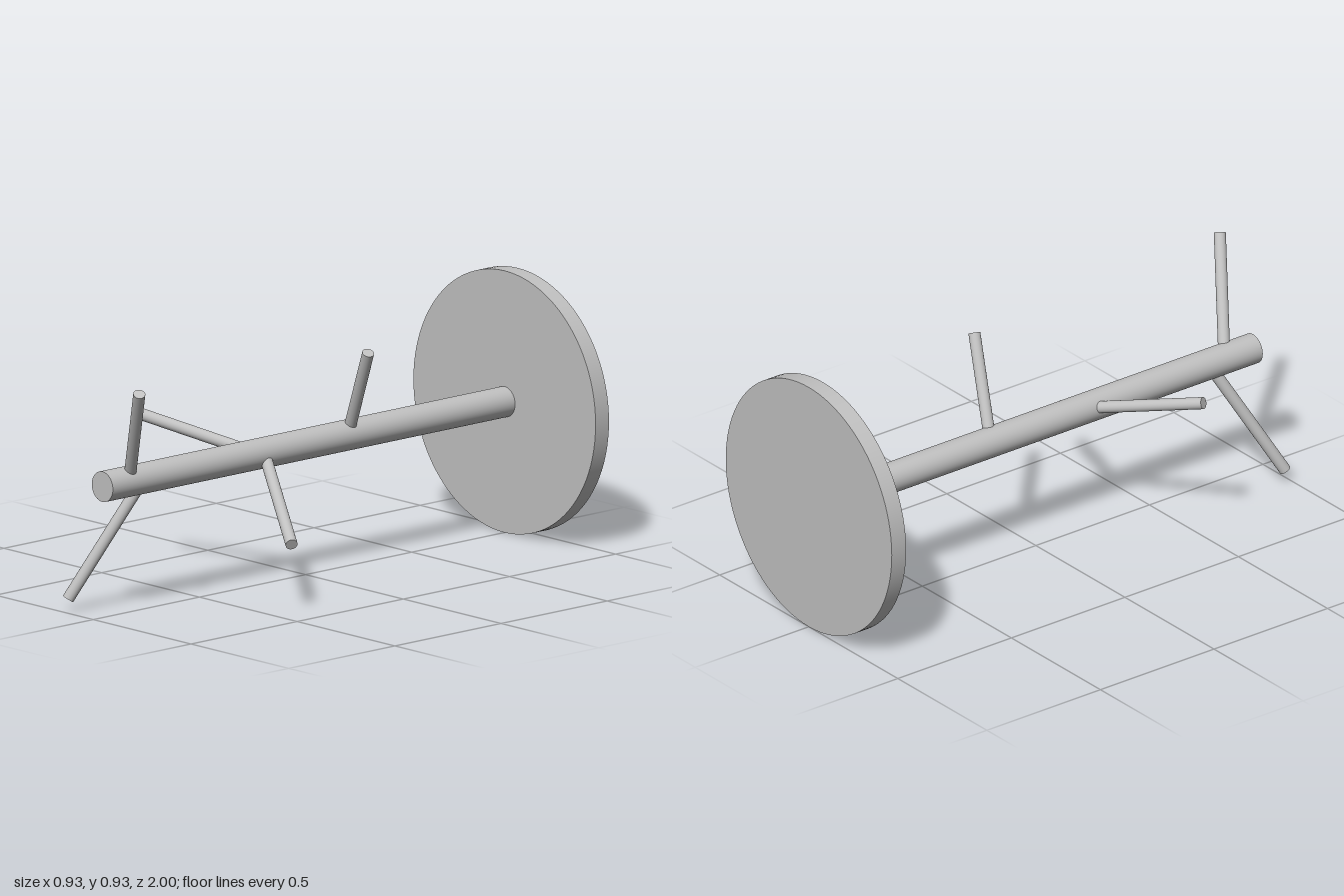
import * as THREE from 'three';

export function createModel() {
  const group = new THREE.Group();
  const metal = new THREE.MeshStandardMaterial({ color: 0xc0c0c0 });
  metal.name = 'light grey';
  const axisY = 0.467;

  // Solid round bar between two points
  function bar(name, start, end, radius, sides) {
    const a = new THREE.Vector3(...start);
    const b = new THREE.Vector3(...end);
    const dir = b.clone().sub(a);
    const mesh = new THREE.Mesh(new THREE.CylinderGeometry(radius, radius, dir.length(), sides), metal);
    mesh.name = name;
    mesh.position.copy(a).add(b).multiplyScalar(0.5);
    mesh.quaternion.setFromUnitVectors(new THREE.Vector3(0, 1, 0), dir.normalize());
    group.add(mesh);
  }

  // Round base plate at the back and the long pole coming out of it
  bar('basePlate', [0, axisY, -1], [0, axisY, -0.937], 0.466, 96);
  bar('pole', [0, axisY, -0.94], [0, axisY, 0.957], 0.054, 48);

  // Slanted pegs: z where each leaves the pole axis, then its tip
  const pegs = [
    ['upperFrontPeg', 0.83, [0.2, 0.833, 0.967]],
    ['lowerFrontPeg', 0.76, [-0.15, 0.046, 0.98]],
    ['rightMiddlePeg', 0.225, [-0.393, 0.578, 0.43]],
    ['leftMiddlePeg', 0.195, [0.4, 0.247, 0.434]],
    ['upperBackPeg', -0.2, [0.177, 0.8, -0.132]],
  ];
  for (const [name, z, tip] of pegs) bar(name, [0, axisY, z], tip, 0.021, 24);

  return group;
}
